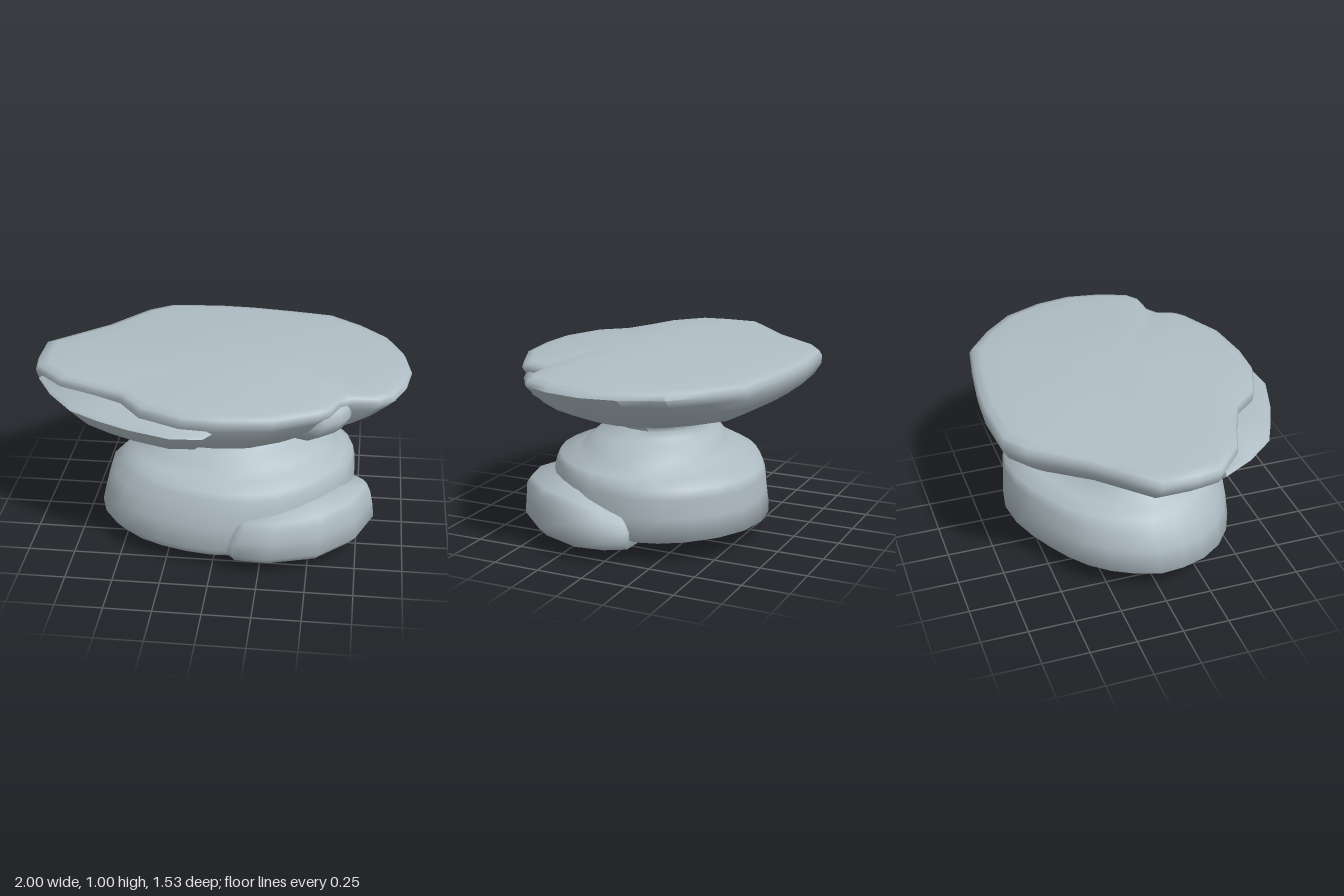
import * as THREE from 'three';
import { mergeVertices, toCreasedNormals } from 'three/addons/utils/BufferGeometryUtils.js';

// Loft an outline [x, z] through rings [y, xMin, xMax, zMin, zMax], bottom to top,
// closed at both ends by a centre point at heights y0 and y1. bend(x, y, z) gives the final height.
function loft(outline, rings, y0, y1, crease, bend = (x, y) => y) {
  const xs = outline.map(p => p[0]), zs = outline.map(p => p[1]);
  const ax = Math.min(...xs), bx = Math.max(...xs), az = Math.min(...zs), bz = Math.max(...zs);
  const n = outline.length, pos = [], idx = [];
  const put = (x, y, z) => pos.push(x, bend(x, y, z), z);
  for (const [y, x0, x1, z0, z1] of rings) {
    for (const [x, z] of outline) {
      put(x0 + (x - ax) / (bx - ax) * (x1 - x0), y, z0 + (z - az) / (bz - az) * (z1 - z0));
    }
  }
  const putMid = ([, x0, x1, z0, z1], y) => put((x0 + x1) / 2, y, (z0 + z1) / 2);
  const last = rings.length - 1, bottom = n * rings.length, top = bottom + 1;
  putMid(rings[0], y0);
  putMid(rings[last], y1);
  for (let j = 0; j < n; j++) {
    const k = (j + 1) % n;
    for (let i = 0; i < last; i++) {
      const a = i * n + j, b = i * n + k;
      idx.push(a, a + n, b, b, a + n, b + n);
    }
    idx.push(bottom, j, k, top, last * n + k, last * n + j);
  }
  const g = new THREE.BufferGeometry();
  g.setAttribute('position', new THREE.Float32BufferAttribute(pos, 3));
  g.setIndex(idx);
  return toCreasedNormals(mergeVertices(g), crease);
}

export function createModel() {
  const group = new THREE.Group();
  const stone = new THREE.MeshStandardMaterial({ color: 0xb0bec5 });
  stone.name = 'paleStone';
  const add = (name, ...args) => {
    const mesh = new THREE.Mesh(loft(...args), stone);
    mesh.name = name;
    group.add(mesh);
  };
  const clamp = THREE.MathUtils.clamp;

  // Wide flat cap with an uneven, notched rim
  const capOutline = [
    [-1, -0.13], [-0.85, -0.27], [-0.7, -0.41], [-0.51, -0.66], [-0.38, -0.75], [-0.1, -0.77],
    [0.1, -0.76], [0.33, -0.73], [0.56, -0.69], [0.73, -0.56], [0.88, -0.4], [0.97, -0.19],
    [1, 0], [0.97, 0.19], [0.91, 0.34], [0.84, 0.39], [0.7, 0.4], [0.64, 0.44], [0.6, 0.54],
    [0.55, 0.58], [0.32, 0.69], [0.06, 0.72], [-0.13, 0.71], [-0.35, 0.62], [-0.47, 0.48],
    [-0.64, 0.4], [-0.82, 0.33], [-0.98, 0.18], [-1, 0.05],
  ];
  add('cap', capOutline, [
    [0.64, -0.2, 0.4, -0.28, 0.27],
    [0.655, -0.34, 0.46, -0.36, 0.33],
    [0.68, -0.62, 0.58, -0.46, 0.46],
    [0.705, -0.7, 0.64, -0.55, 0.54],
    [0.76, -0.84, 0.77, -0.65, 0.61],
    [0.82, -0.92, 0.87, -0.73, 0.67],
    [0.88, -0.99, 0.95, -0.765, 0.7],
    [0.925, -1, 1, -0.77, 0.72],
    [0.952, -0.985, 0.985, -0.755, 0.71],
    [0.963, -0.93, 0.94, -0.71, 0.675],
    [0.972, -0.76, 0.8, -0.58, 0.58],
    [0.998, -0.42, 0.52, -0.33, 0.42],
    [1.01, -0.12, 0.3, -0.1, 0.2],
  ], 0.63, 1.012, 1.3);

  // Broken ledge under the front edge of the cap, rising towards the side
  add('capLedge', [
    [-0.3, 0.3], [0.04, 0.66], [-0.02, 0.75], [-0.18, 0.76], [-0.4, 0.69], [-0.56, 0.62],
    [-0.72, 0.54], [-0.86, 0.38], [-0.96, 0.21], [-0.7, 0.15],
  ], [
    [0.72, -0.7, -0.05, 0.12, 0.57],
    [0.76, -0.84, -0.02, 0.13, 0.67],
    [0.82, -0.91, 0.02, 0.14, 0.73],
    [0.865, -0.96, 0.04, 0.15, 0.765],
    [0.883, -0.94, 0.03, 0.16, 0.745],
  ], 0.7, 0.9, 1.2, (x, y) => y + 0.06 * Math.max(0, -x - 0.5));

  // Soft lump beneath the notch in the cap rim
  add('capLump', [[0.4, 0.2], [0.7, 0.34], [0.69, 0.44], [0.65, 0.5], [0.57, 0.56], [0.4, 0.5]], [
    [0.74, 0.35, 0.58, 0.2, 0.47],
    [0.8, 0.38, 0.66, 0.2, 0.535],
    [0.87, 0.4, 0.7, 0.2, 0.56],
    [0.92, 0.4, 0.68, 0.2, 0.54],
  ], 0.72, 0.945, Math.PI);

  // Rounded base rising in worn steps to the neck, skewed across its back half
  const baseOutline = [];
  for (let i = 0; i < 28; i++) {
    const a = i / 28 * Math.PI * 2;
    const r = 1 + 0.015 * Math.cos(5 * a) - (a > Math.PI ? 0.11 * Math.sin(2 * a) : 0);
    baseOutline.push([r * Math.cos(a), r * Math.sin(a)]);
  }
  add('base', baseOutline, [
    [0.025, -0.22, 0.36, -0.2, 0.25],
    [0.055, -0.42, 0.5, -0.38, 0.45],
    [0.085, -0.61, 0.63, -0.53, 0.57],
    [0.13, -0.67, 0.72, -0.625, 0.6],
    [0.25, -0.64, 0.725, -0.615, 0.59],
    [0.35, -0.61, 0.72, -0.61, 0.57],
    [0.4, -0.555, 0.71, -0.6, 0.55],
    [0.435, -0.515, 0.67, -0.5, 0.535],
    [0.455, -0.48, 0.615, -0.41, 0.43],
    [0.5, -0.43, 0.59, -0.375, 0.38],
    [0.55, -0.36, 0.47, -0.33, 0.33],
    [0.58, -0.25, 0.42, -0.295, 0.28],
    [0.61, -0.185, 0.385, -0.28, 0.25],
    [0.64, -0.19, 0.4, -0.28, 0.27],
    [0.68, -0.3, 0.46, -0.3, 0.32],
  ], 0.008, 0.69, 1.3);

  // Slab bulging from the front corner of the base, its top falling away at both ends
  add('baseSlab', [
    [0.2, 0.1], [0.5, -0.16], [0.76, -0.14], [0.82, -0.03], [0.84, 0.14], [0.75, 0.38],
    [0.57, 0.57], [0.32, 0.65], [0.14, 0.64], [0.07, 0.55],
  ], [
    [0.055, 0.1, 0.66, -0.1, 0.55],
    [0.08, 0.06, 0.8, -0.13, 0.61],
    [0.13, 0.05, 0.84, -0.14, 0.655],
    [0.22, 0.07, 0.83, -0.14, 0.645],
    [0.3, 0.1, 0.815, -0.12, 0.635],
    [0.335, 0.12, 0.79, -0.1, 0.61],
  ], 0.05, 0.345, 1.2, (x, y, z) => y - clamp((y - 0.13) / 0.2, 0, 1)
    * (0.1 * clamp((0.2 - z) / 0.32, 0, 1) + 0.04 * clamp((0.5 - x) / 0.4, 0, 1)));

  return group;
}
